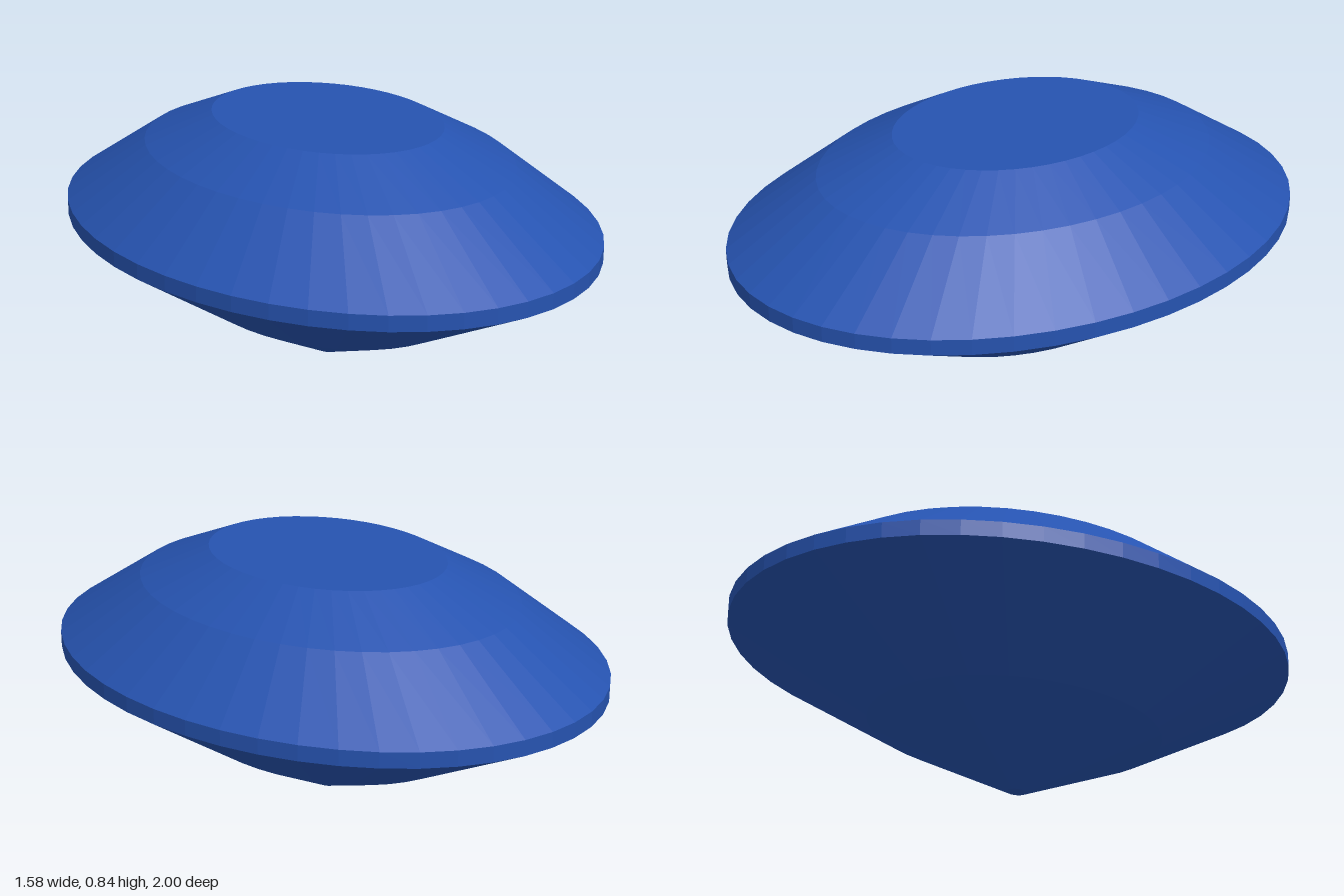
import * as THREE from 'three';

const SIDES = 48;
const HALF_LENGTH = 1.006; // long half axis, along z before turning
const HALF_WIDTH = 0.782; // short half axis, along x before turning

export function createModel() {
  const gem = new THREE.Group();
  gem.name = 'ovalGem';
  const sapphire = new THREE.MeshStandardMaterial({ color: 0x2653b0, flatShading: true });
  sapphire.name = 'sapphire blue';

  // One band of the cut stone: [radius, height] pairs from bottom to top
  function addBand(name, profile) {
    const points = profile.map(([r, y]) => new THREE.Vector2(r, y));
    const geometry = new THREE.LatheGeometry(points, SIDES);
    geometry.scale(HALF_WIDTH, 1, HALF_LENGTH);
    const mesh = new THREE.Mesh(geometry, sapphire);
    mesh.name = name;
    gem.add(mesh);
  }

  // Lower cone with its small flat tip
  addBand('pavilion', [[0, 0], [0.035, 0], [0.52, 0.215], [1, 0.478]]);
  // Upright rim
  addBand('girdle', [[1, 0.478], [1, 0.53]]);
  // Two sloping upper bands
  addBand('crown', [[1, 0.53], [0.69, 0.73], [0.43, 0.84]]);
  // Flat top
  addBand('table', [[0.43, 0.84], [0, 0.84]]);

  // The oval sits slightly turned
  gem.rotation.y = THREE.MathUtils.degToRad(-10);
  return gem;
}
